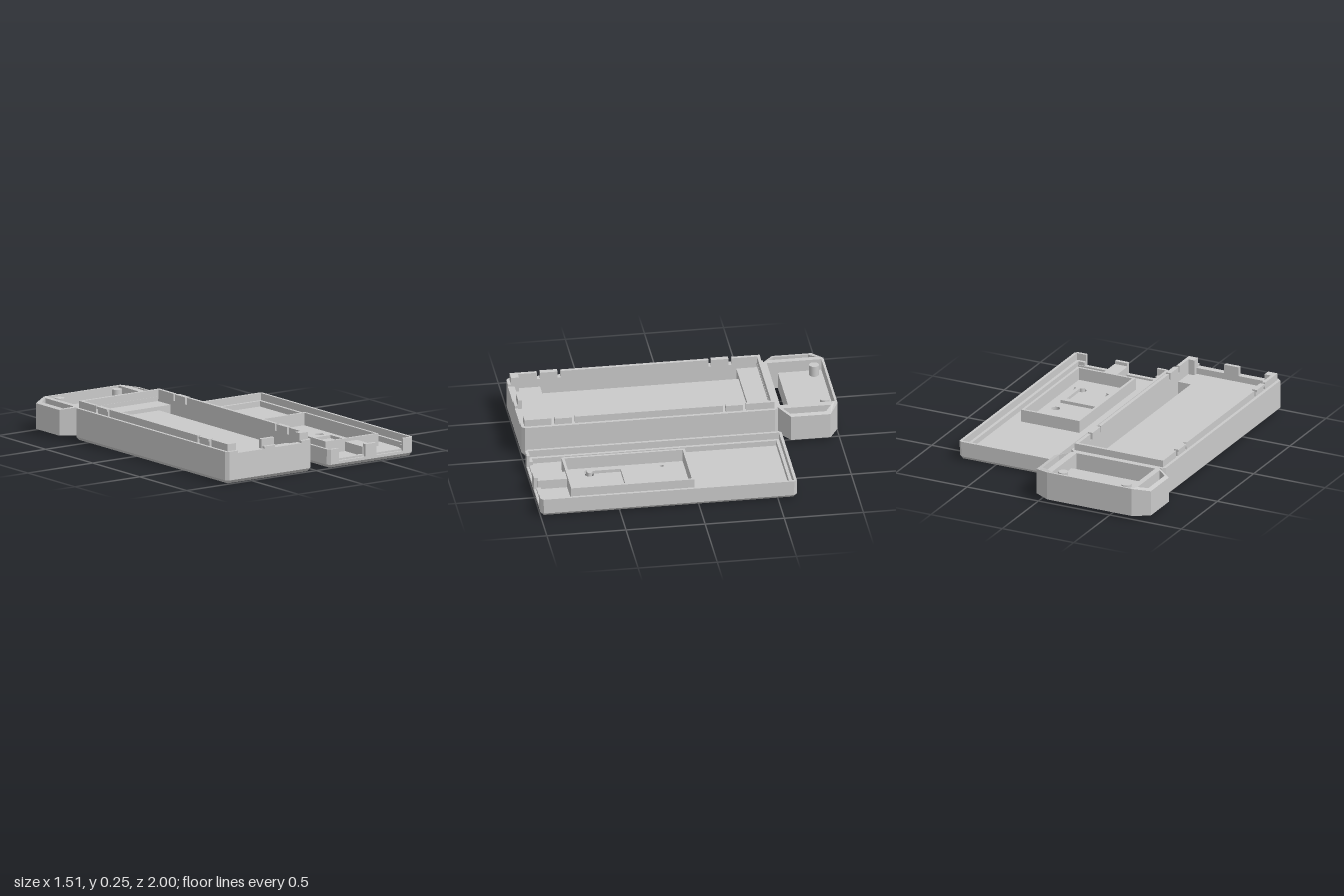
import * as THREE from 'three';

const grey = new THREE.MeshStandardMaterial({ color: 0xcacaca });
grey.name = 'plastic grey';

const path = (pts) => pts.map(([x, z]) => new THREE.Vector2(x, -z));
const rect = (x0, x1, z0, z1) => [[x0, z0], [x1, z0], [x1, z1], [x0, z1]];

// Rectangle with clipped corners
const clipped = (x0, x1, z0, z1, c = 0.02) => [
  [x0 + c, z0], [x1 - c, z0], [x1, z0 + c], [x1, z1 - c],
  [x1 - c, z1], [x0 + c, z1], [x0, z1 - c], [x0, z0 + c]];

// Circle, or a rounded slot stretched along x by half
function rounded(cx, cz, r, half = 0) {
  const pts = [];
  for (let i = 0; i < 24; i++) {
    const a = ((i + 0.5) / 24) * Math.PI * 2;
    pts.push([cx + r * Math.cos(a) + Math.sign(Math.cos(a)) * half, cz + r * Math.sin(a)]);
  }
  return pts;
}

// Wall running round three sides, open at the front between n0 and n1
const openWall = (x0, x1, z0, z1, t, n0, n1, c = 0.02) => [
  [n0, z1], [x0 + c, z1], [x0, z1 - c], [x0, z0 + c], [x0 + c, z0], [x1 - c, z0],
  [x1, z0 + c], [x1, z1 - c], [x1 - c, z1], [n1, z1], [n1, z1 - t], [x1 - t, z1 - t],
  [x1 - t, z0 + t], [x0 + t, z0 + t], [x0 + t, z1 - t], [n0, z1 - t]];

function add(group, name, geometry) {
  const mesh = new THREE.Mesh(geometry, grey);
  mesh.name = name;
  group.add(mesh);
}

// Upright slab from a plan outline; rule may move its vertices
function slab(group, name, outline, y0, y1, holes = [], rule = null) {
  const pts = path(outline);
  // A counter-clockwise outline makes the extrusion orient its holes as well
  if (THREE.ShapeUtils.isClockWise(pts)) pts.reverse();
  const shape = new THREE.Shape(pts);
  holes.forEach((h) => shape.holes.push(new THREE.Path(path(h))));
  const g = new THREE.ExtrudeGeometry(shape, { depth: y1 - y0, bevelEnabled: false });
  g.rotateX(-Math.PI / 2).translate(0, y0, 0);
  if (rule) {
    const p = g.attributes.position;
    const v = new THREE.Vector3();
    for (let i = 0; i < p.count; i++) {
      rule(v.fromBufferAttribute(p, i));
      p.setXYZ(i, v.x, v.y, v.z);
    }
    g.computeVertexNormals();
  }
  add(group, name, g);
}

function box(group, name, x0, x1, y0, y1, z0, z1) {
  const g = new THREE.BoxGeometry(x1 - x0, y1 - y0, z1 - z0);
  g.translate((x0 + x1) / 2, (y0 + y1) / 2, (z0 + z1) / 2);
  add(group, name, g);
}

// Tray floor whose lower edge is chamfered inwards
function trayFloor(group, x0, x1, z0, z1, top, lowerHoles, upperHoles) {
  const c = 0.022;
  const outline = clipped(x0, x1, z0, z1);
  slab(group, 'chamferedBase', outline, 0, c, lowerHoles, (v) => {
    if (v.y > 0.001) return;
    v.x = THREE.MathUtils.clamp(v.x, x0 + c, x1 - c);
    v.z = THREE.MathUtils.clamp(v.z, z0 + c, z1 - c);
  });
  slab(group, 'trayFloor', outline, c, top, upperHoles);
}

const Z0 = -0.62, Z1 = 1;

// Deep tray with slotted floor and a clip lip
function deepTray() {
  const g = new THREE.Group();
  g.name = 'deepTray';
  const x0 = -0.69, x1 = -0.03, mid = -0.36, t = 0.042, floor = 0.15;
  const slots = [rect(-0.648, -0.56, -0.45, 0.79), rect(-0.16, -0.072, -0.45, 0.79)];
  trayFloor(g, x0, x1, Z0, Z1, floor, slots, slots);
  slab(g, 'trayWall', clipped(x0, x1, Z0, Z1), floor, 0.19,
    [rect(x0 + t, x1 - t, Z0 + 0.036, Z1 - t)]);
  slab(g, 'wallRim', openWall(x0, x1, Z0, Z1, t, -0.605, -0.115), 0.19, 0.205);
  box(g, 'frontRimMiddle', -0.40, -0.32, 0.19, 0.205, Z1 - t, Z1);
  box(g, 'rearLedge', x0 + t, x1 - t, floor, 0.175, Z0 + 0.036, -0.45);

  // Lip: back, front tab and corners
  box(g, 'backLip', -0.67, -0.05, 0.205, 0.25, -0.6, -0.58);
  box(g, 'frontLipMiddle', -0.41, -0.31, 0.19, 0.25, 0.955, 0.98);
  for (const s of [-1, 1]) {
    const span = (a, b) => [mid + s * a, mid + s * b].sort((p, q) => p - q);
    box(g, 'frontLipCorner', ...span(0.245, 0.31), 0.205, 0.25, 0.955, 0.98);
    box(g, 'cornerPost', ...span(0.245, 0.288), floor, 0.25, 0.93, 0.958);
    // Side lip pieces and the snap clips between them
    for (const [a, b] of [[-0.595, -0.42], [-0.275, 0.66], [0.81, 0.98]])
      box(g, 'sideLip', ...span(0.288, 0.31), 0.205, 0.25, a, b);
    for (const [a, b] of [[-0.4, -0.29], [0.68, 0.79]]) {
      box(g, 'sideClip', ...span(0.285, 0.31), 0.205, 0.25, a, b);
      box(g, 'clipRidge', ...span(0.31, 0.318), 0.235, 0.25, a, b);
    }
  }
  return g;
}

// Rear holder with strap ears
function rearHolder() {
  const g = new THREE.Group();
  g.name = 'rearHolder';
  const mid = -0.356;
  const ear = (s) => [[0.315, -0.955], [0.37, -0.915], [0.37, -0.69], [0.315, -0.65]]
    .map(([d, z]) => [mid + s * d, z]);
  const outline = [[-0.295, -1], [0.295, -1], [0.4, -0.94], [0.4, -0.69], [0.295, -0.62],
    [-0.295, -0.62], [-0.4, -0.69], [-0.4, -0.94]].map(([d, z]) => [mid + d, z]);
  slab(g, 'holderFrame', outline, 0.022, 0.205,
    [rect(-0.635, -0.085, -0.985, -0.64), ear(-1), ear(1)], (v) => {
      const d = Math.abs(v.x - mid);
      if (v.y > 0.1 && d > 0.314) v.y -= (d - 0.314) * 0.22;
    });
  box(g, 'holderFloor', -0.636, -0.084, 0.022, 0.13, -0.986, -0.71);
  for (const x of [-0.58, -0.138]) {
    const peg = new THREE.CylinderGeometry(0.031, 0.031, 0.075, 24);
    add(g, 'peg', peg.translate(x, 0.1625, -0.93));
  }
  return g;
}

// Shallow lid with an inner compartment
function shallowLid() {
  const g = new THREE.Group();
  g.name = 'shallowLid';
  const x0 = 0.095, x1 = 0.752, floor = 0.04;
  const buttons = [0.31, 0.535];
  // Holes are wider in the underside than in the floor above it
  trayFloor(g, x0, x1, Z0, Z1, floor,
    [...buttons.map((x) => rounded(x, 0.627, 0.042, 0.02)), rounded(0.535, 0.295, 0.05),
      rect(0.255, 0.315, 0.135, 0.195)],
    [...buttons.map((x) => rounded(x, 0.627, 0.028, 0.016)), rounded(0.535, 0.295, 0.028),
      rounded(0.285, 0.165, 0.013)]);

  // Stepped wall with two front openings
  slab(g, 'lidWall', openWall(x0, x1, Z0, Z1, 0.038, 0.175, 0.67), floor, 0.075);
  slab(g, 'lidRim', openWall(x0, x1, Z0, Z1, 0.018, 0.175, 0.67, 0.017), 0.075, 0.12);
  box(g, 'frontWallMiddle', 0.38, 0.465, floor, 0.12, 0.975, Z1);
  // Low sill behind the openings
  box(g, 'frontSill', 0.13, 0.715, floor, 0.052, 0.957, 0.985);

  // Compartment
  slab(g, 'compartmentWall', rect(0.225, 0.632, 0.01, 0.79), floor, 0.12,
    [rect(0.242, 0.615, 0.026, 0.773)]);
  box(g, 'frontBridge', 0.375, 0.468, floor, 0.1, 0.79, 0.976);

  // Sprung arch carrying two buttons in the slots
  slab(g, 'archRidge', [[0.295, 0.615], [0.295, 0.39], [0.55, 0.39], [0.55, 0.615],
    [0.525, 0.615], [0.525, 0.43], [0.32, 0.43], [0.32, 0.615]], floor, 0.06);
  for (const x of buttons) slab(g, 'button', rounded(x, 0.627, 0.018, 0.016), 0.01, 0.06);
  return g;
}

export function createModel() {
  const model = new THREE.Group();
  model.name = 'caseKit';
  model.add(deepTray(), rearHolder(), shallowLid());
  return model;
}
